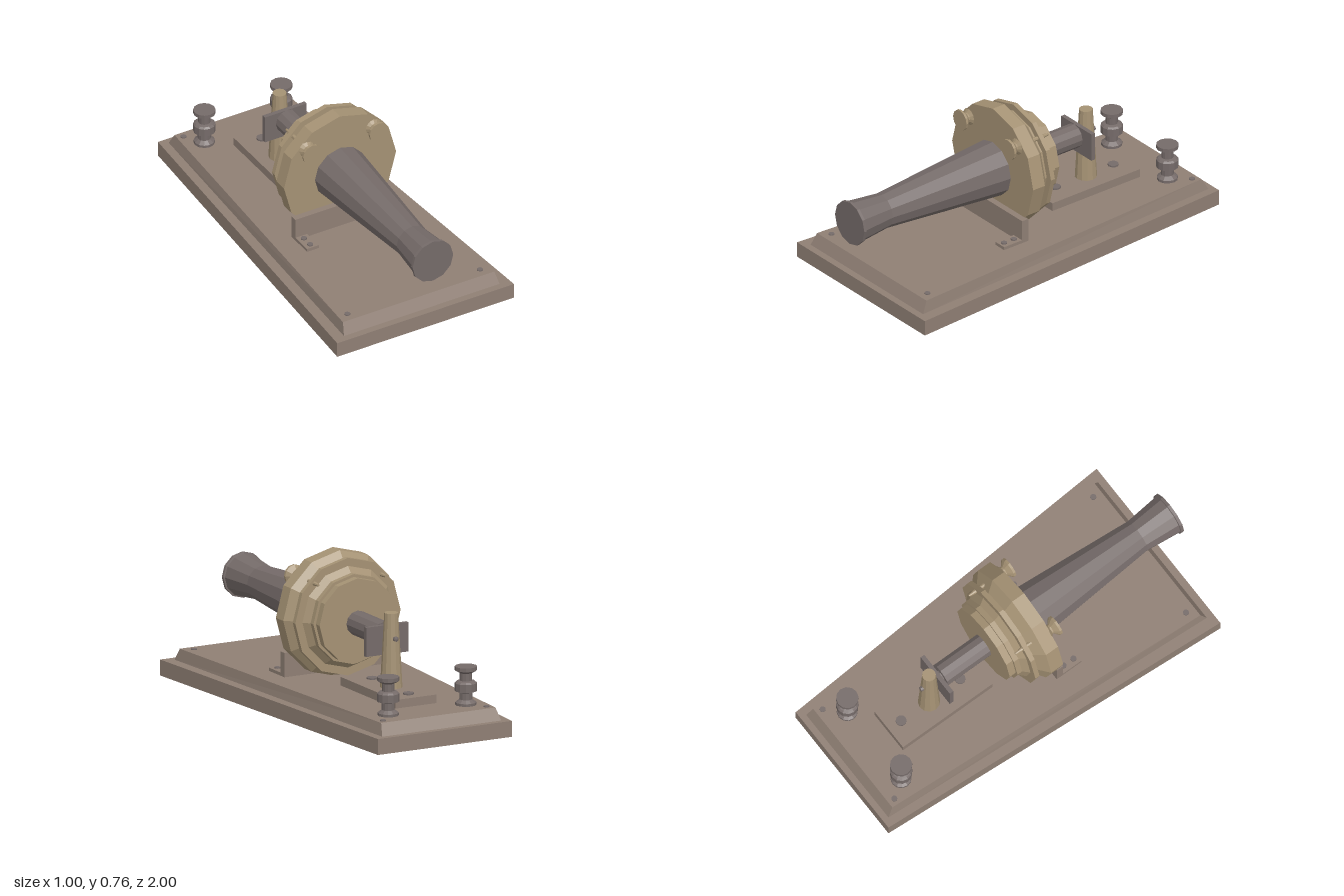
import * as THREE from 'three';

const mat = (color) => new THREE.MeshStandardMaterial({ color, flatShading: true });

export function createModel() {
  const model = new THREE.Group();
  const wood = mat(0x8f7f74), brass = mat(0xa59274), steel = mat(0x756b69);

  const add = (name, geometry, material, x = 0, y = 0, z = 0) => {
    const mesh = new THREE.Mesh(geometry, material);
    mesh.name = name;
    mesh.position.set(x, y, z);
    model.add(mesh);
    return mesh;
  };
  // Box given by its minimum and maximum corners
  const box = (name, material, [x0, y0, z0], [x1, y1, z1]) =>
    add(name, new THREE.BoxGeometry(x1 - x0, y1 - y0, z1 - z0), material,
      (x0 + x1) / 2, (y0 + y1) / 2, (z0 + z1) / 2);
  // Turned part: [radius, height] pairs from bottom to top
  const turned = (profile, sides = 12) =>
    new THREE.LatheGeometry(profile.map(([r, h]) => new THREE.Vector2(r, h)), sides);
  // Turned part lying along z, profile from back to front
  const turnedZ = (profile, sides) => turned(profile, sides).rotateX(Math.PI / 2);

  // Slab narrowing to the back; each level is [y, front z, front half width, back z, back half width]
  const slab = (name, bottom, top) => {
    const geometry = new THREE.BoxGeometry(1, 1, 1);
    const p = geometry.attributes.position;
    for (let i = 0; i < p.count; i++) {
      const [y, zf, wf, zb, wb] = p.getY(i) > 0 ? top : bottom;
      const front = p.getZ(i) > 0;
      p.setXYZ(i, Math.sign(p.getX(i)) * (front ? wf : wb), y, front ? zf : zb);
    }
    geometry.computeVertexNormals();
    add(name, geometry, wood);
  };
  slab('base', [0, 0.93, 0.5, -1, 0.375], [0.08, 0.93, 0.5, -1, 0.375]);
  slab('upperBase', [0.08, 0.893, 0.44, -0.968, 0.333], [0.14, 0.863, 0.428, -0.935, 0.32]);

  // Screws in the corners of the base
  const screw = (name, r, h, x, y, z) =>
    add(name, new THREE.CylinderGeometry(r, r, h, 10), steel, x, y + h / 2, z);
  for (const s of [-1, 1]) {
    screw('baseScrew', 0.015, 0.005, s * 0.375, 0.14, 0.815);
    screw('baseScrew', 0.015, 0.005, s * 0.29, 0.14, -0.9);
  }

  // Round housing with stepped rear rings
  add('housing', turnedZ([
    [0, -0.137], [0.212, -0.137], [0.212, -0.1], [0.226, -0.1], [0.226, -0.072],
    [0.255, -0.043], [0.295, -0.043], [0.295, -0.018], [0.262, -0.018], [0.262, -0.008],
    [0.317, 0.037], [0.317, 0.11], [0, 0.11],
  ]), brass, 0, 0.443, 0);

  // Flared mouthpiece
  add('mouthpiece', turnedZ([
    [0, 0.1], [0.143, 0.1], [0.088, 0.8], [0.107, 0.983], [0.115, 0.985], [0.115, 1], [0, 1],
  ]), steel, 0, 0.432, 0);

  // Clamping knobs with pins running through the housing
  for (const s of [-1, 1]) {
    add('clampKnob', turnedZ([
      [0, 0.105], [0.045, 0.108], [0.027, 0.122], [0.027, 0.13], [0.053, 0.153], [0.053, 0.165], [0, 0.165],
    ]), brass, s * 0.188, 0.632, 0);
    add('clampPin', turnedZ([[0, -0.085], [0.006, -0.085], [0.011, -0.045], [0.011, 0.04], [0, 0.04]], 8),
      brass, s * 0.188, 0.632, 0);
  }

  // Front bracket with two feet
  box('bracketPlate', wood, [-0.272, 0.14, 0.105], [0.272, 0.262, 0.143]);
  for (const s of [-1, 1]) {
    const a = s > 0 ? 0.205 : -0.272;
    box('bracketFoot', wood, [a, 0.14, 0.14], [a + 0.067, 0.156, 0.255]);
    for (const z of [0.17, 0.23]) screw('bracketScrew', 0.015, 0.006, s * 0.24, 0.156, z);
  }

  // Rear tube and contact plate
  add('rearTube', turnedZ([
    [0, -0.42], [0.035, -0.42], [0.035, -0.4], [0.062, -0.4], [0.062, -0.13], [0, -0.13],
  ]), steel, 0, 0.432, 0);
  box('contactPlate', steel, [-0.118, 0.338, -0.432], [0.118, 0.485, -0.41]);

  // Rear pillar on its mounting block
  box('mountingBlock', wood, [-0.115, 0.14, -0.715], [0.115, 0.183, -0.17]);
  for (const z of [-0.64, -0.28]) screw('blockScrew', 0.027, 0.008, 0, 0.183, z);
  add('pillar', new THREE.CylinderGeometry(0.034, 0.055, 0.374, 12), brass, 0, 0.369, -0.47);
  add('adjustingScrew', turnedZ([
    [0, -0.525], [0.013, -0.522], [0.013, -0.505], [0.008, -0.505], [0.008, -0.42], [0, -0.42],
  ], 8), steel, 0, 0.432, 0);

  // Binding posts at the back corners
  const post = [
    [0, 0.14], [0.052, 0.14], [0.052, 0.153], [0.032, 0.168], [0.032, 0.203],
    [0.055, 0.21], [0.055, 0.25], [0.046, 0.258], [0.03, 0.262], [0.03, 0.3],
    [0.055, 0.314], [0.055, 0.333], [0, 0.333],
  ];
  for (const x of [-0.225, 0.21]) add('bindingPost', turned(post), steel, x, 0, -0.81);

  return model;
}
